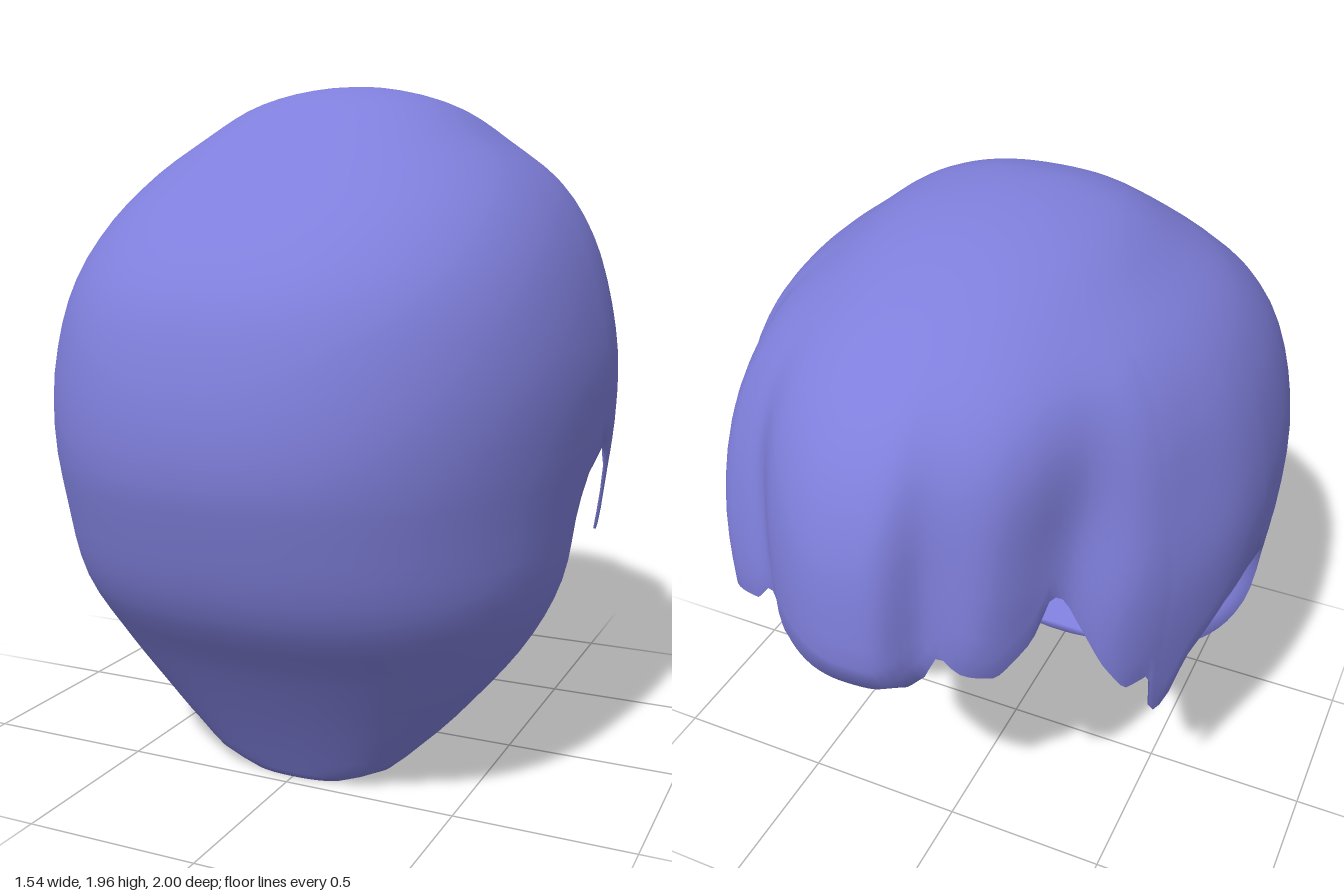
import * as THREE from 'three';

const TOP = 1.955;    // crown height
const EAR = 0.95;     // height where the fringe meets the long back section
const COLS = 240, UPPER = 26, LOWER = 20;
const C0 = COLS / 4, C1 = 3 * COLS / 4;   // columns of the two side edges
const BULGE = 0.85;   // below 1 squares off the rounded back
const { clamp, smoothstep, degToRad } = THREE.MathUtils;

// Smooth curve through [key, value] pairs with ascending keys
function curve(pts) {
  const n = pts.length;
  const slope = (i) => {
    const a = pts[Math.max(i - 1, 0)], b = pts[Math.min(i + 1, n - 1)];
    return (b[1] - a[1]) / (b[0] - a[0]);
  };
  return (k) => {
    let i = 0;
    while (i < n - 2 && k > pts[i + 1][0]) i++;
    const [k0, v0] = pts[i], [k1, v1] = pts[i + 1], h = k1 - k0;
    const t = clamp((k - k0) / h, 0, 1), u = 1 - t;
    return v0 * (1 + 2 * t) * u * u + slope(i) * h * t * u * u
      + v1 * t * t * (3 - 2 * t) - slope(i + 1) * h * t * t * u;
  };
}
// Profile over height; the square-root key keeps the crown round
const key = (y) => Math.sqrt(Math.max(0, TOP - y));
const profile = (pts) => {
  const f = curve(pts.map(([y, v]) => [key(y), v]));
  return (y) => f(key(y));
};

const halfWidth = profile([[TOP, 0], [1.9, 0.28], [1.8, 0.43], [1.7, 0.56], [1.6, 0.64], [1.45, 0.71],
  [1.2, 0.765], [1, 0.765], [0.8, 0.74], [0.6, 0.705], [0.4, 0.605], [0.2, 0.44], [0.1, 0.335],
  [0.04, 0.26], [0, 0.15]]);
const backZ = profile([[TOP, 0], [1.9, 0.27], [1.82, 0.41], [1.68, 0.6], [1.57, 0.75], [1.4, 0.91],
  [1.2, 0.98], [1, 1], [0.85, 0.97], [0.6, 0.88], [0.4, 0.73], [0.2, 0.59], [0, 0.46]]);
const fringeZ = profile([[TOP, 0], [1.9, -0.38], [1.82, -0.6], [1.76, -0.71], [1.66, -0.83], [1.53, -0.92],
  [1.35, -0.98], [1.1, -1], [0.6, -1]]);
// Middle of each cross-section, and the side edge of the long back section
const centreZ = profile([[TOP, 0], [1.3, 0], [EAR, 0], [0.8, 0.04], [0.6, 0.1], [0.4, 0.18], [0.2, 0.28], [0, 0.4]]);
const edgeZ = profile([[TOP, 0], [1.3, 0], [EAR, 0], [0.92, 0.08], [0.87, 0.14], [0.75, 0.185], [0.5, 0.2],
  [0.35, 0.24], [0.2, 0.3], [0.1, 0.35], [0, 0.41]]);

// Fringe outline: angle from the middle of the face opening, height
const RIM = [[-90, 0.95], [-85, 0.96], [-78, 0.92], [-70, 0.79], [-67, 0.65], [-65, 0.62], [-63, 0.66],
  [-61, 0.81], [-55, 0.8], [-49, 0.92], [-41, 1.14], [-38, 1.17], [-34, 1.05], [-26, 0.97], [-20, 1.0],
  [-15.5, 1.08], [-12, 0.99], [-5, 0.91], [5, 0.92], [20, 0.99], [29.5, 1.06], [33, 1.0], [43, 0.98],
  [50, 1.12], [54, 1.15], [57, 1.12], [62, 0.89], [65, 0.82], [69, 0.81], [71, 0.66], [73, 0.62],
  [75, 0.65], [79, 0.8], [83, 0.9], [87, 0.94], [90, 0.95]];
const rimHeight = (deg) => {
  if (Math.abs(deg) >= 90) return EAR;
  const i = RIM.findIndex((p) => p[0] > deg), [a, ya] = RIM[i - 1], [b, yb] = RIM[i];
  return ya + (yb - ya) * (deg - a) / (b - a);
};

// Locks seen in plan: angle, share of the full radius
const lockShape = curve([[-90, 1], [-78, 0.985], [-65, 0.945], [-53, 0.91], [-40, 0.83], [-24, 0.91],
  [-12, 0.92], [-6, 0.985], [0, 1], [9, 1], [20, 0.965], [28, 0.925], [34, 0.965], [41, 1], [49, 0.975],
  [56, 0.925], [62, 0.98], [75, 0.99], [90, 1]]);
// They fan outwards and fade as they rise
function lockRelief(deg, y) {
  const fanned = deg / (1 + 0.5 * Math.max(0, y - 1.1) * Math.cos(degToRad(deg)));
  return 1 - (1 - lockShape(fanned)) * smoothstep(1.88 - y, 0, 0.6);
}

function surfacePoint(deg, y) {
  const w = halfWidth(y);
  if (Math.abs(deg) < 90) {
    const a = degToRad(deg), k = lockRelief(deg, y);
    // The middle lock curls in at its tip
    const curl = 6.6 * Math.max(0, 1.05 - y) ** 2 * (1 - smoothstep(Math.abs(deg), 15, 40));
    return [w * Math.sin(a) * k, y, (fringeZ(y) + curl) * Math.cos(a) * k];
  }
  const zc = centreZ(y), depth = backZ(y) - zc;
  const reach = depth > 0 ? Math.acos(clamp((edgeZ(y) - zc) / depth, 0, 1) ** (1 / BULGE)) : Math.PI / 2;
  const b = reach * (180 - Math.abs(deg)) / 90;
  return [Math.sign(deg) * w * Math.sin(b) ** BULGE, y, zc + depth * Math.max(0, Math.cos(b)) ** BULGE];
}

function hairGeometry() {
  const rows = UPPER + LOWER, pos = [], index = [];
  const id = (r, c) => (r === 0 ? 0 : 1 + (r - 1) * COLS + (c % COLS));
  const isBack = (c) => c % COLS <= C0 || c % COLS >= C1;

  // Outer surface: full dome, then only the back below ear height
  pos.push(0, TOP, 0);
  for (let r = 1; r <= rows; r++) {
    for (let c = 0; c < COLS; c++) {
      const deg = -180 + 360 * c / COLS, rim = rimHeight(deg);
      let y = rim;
      if (r <= UPPER) y = TOP - (TOP - rim) * (r / UPPER) ** 2;
      else if (isBack(c)) y = EAR * (1 - (r - UPPER) / LOWER) ** 1.3;
      pos.push(...surfacePoint(deg, y));
    }
  }
  for (let r = 0; r < rows; r++) {
    for (let c = 0; c < COLS; c++) {
      if (r >= UPPER && !(isBack(c) && isBack(c + 1))) continue;
      const a = id(r, c), b = id(r, c + 1), d = id(r + 1, c), e = id(r + 1, c + 1);
      if (r > 0) index.push(a, b, d);
      index.push(b, e, d);
    }
  }
  const outer = new THREE.BufferGeometry();
  outer.setAttribute('position', new THREE.Float32BufferAttribute(pos, 3));
  outer.setIndex(index);
  outer.computeVertexNormals();

  // Lining: offset inwards, thinning towards the fringe tips
  const n = outer.attributes.normal.array, count = pos.length / 3, all = pos.slice();
  for (let i = 0; i < count; i++) {
    const r = i === 0 ? 0 : 1 + Math.floor((i - 1) / COLS), c = i === 0 ? 0 : (i - 1) % COLS;
    const deg = Math.abs(-180 + 360 * c / COLS);
    const thin = smoothstep(r / UPPER, 0.6, 1) * (1 - smoothstep(deg, 80, 96));
    const t = 0.055 - 0.047 * thin;
    for (let k = 0; k < 3; k++) all.push(pos[3 * i + k] - n[3 * i + k] * t);
    all[all.length - 2] = Math.max(all[all.length - 2], 0.005);
  }
  const faces = index.slice();
  for (let i = 0; i < index.length; i += 3) {
    faces.push(index[i] + count, index[i + 2] + count, index[i + 1] + count);
  }

  // Rim joining the outer surface and the lining
  const loop = [];
  for (let c = C0; c < C1; c++) loop.push(id(UPPER, c));
  for (let r = UPPER; r < rows; r++) loop.push(id(r, C1));
  for (let c = C1; c < COLS + C0; c++) loop.push(id(rows, c));
  for (let r = rows; r > UPPER; r--) loop.push(id(r, C0));
  loop.forEach((a, i) => {
    const b = loop[(i + 1) % loop.length];
    faces.push(a, b, a + count, b, b + count, a + count);
  });

  const geo = new THREE.BufferGeometry();
  geo.setAttribute('position', new THREE.Float32BufferAttribute(all, 3));
  geo.setIndex(faces);
  geo.computeVertexNormals();
  return geo;
}

export function createModel() {
  const periwinkle = new THREE.MeshStandardMaterial({ color: 0x7f7fdc });
  periwinkle.name = 'periwinkle';
  const hair = new THREE.Mesh(hairGeometry(), periwinkle);
  hair.name = 'hair';
  const group = new THREE.Group();
  group.name = 'hairpiece';
  group.add(hair);
  return group;
}
